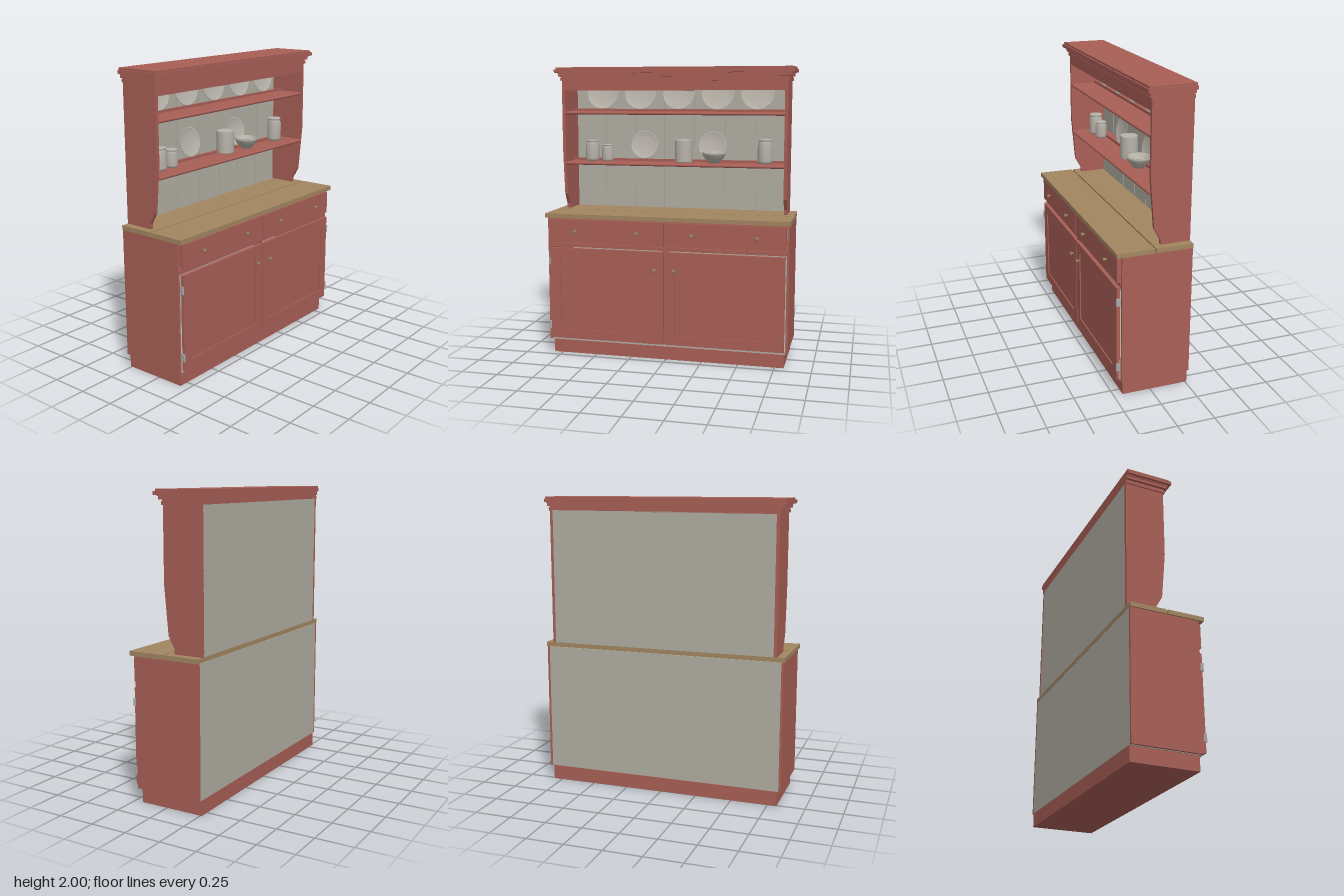
import * as THREE from 'three';

const mat = (name, color) => {
  const m = new THREE.MeshStandardMaterial({ color });
  m.name = name;
  return m;
};

export function createModel() {
  const red = mat('redPaint', 0xa85f56);
  const wood = mat('worktopWood', 0xa28660);
  const grey = mat('greyBoard', 0xb0ada2);
  const china = mat('stoneware', 0xb8b3aa);
  const brass = mat('agedBrass', 0x98835c);
  const steel = mat('hingeSteel', 0xaaaaa8);

  const root = new THREE.Group();
  root.name = 'dresser';

  const add = (name, geometry, material, x = 0, y = 0, z = 0) => {
    const mesh = new THREE.Mesh(geometry, material);
    mesh.name = name;
    mesh.position.set(x, y, z);
    root.add(mesh);
    return mesh;
  };
  // Box given by its limits on each axis
  const box = (name, material, x0, x1, y0, y1, z0, z1) =>
    add(name, new THREE.BoxGeometry(x1 - x0, y1 - y0, Math.abs(z1 - z0)), material,
      (x0 + x1) / 2, (y0 + y1) / 2, (z0 + z1) / 2);
  const lathe = (points, segments) =>
    new THREE.LatheGeometry(points.map(([r, y]) => new THREE.Vector2(r, y)), segments);

  // Base cabinet
  box('plinth', red, -0.26, 0.19, 0, 0.098, -0.812, 0.812);
  box('cabinetFloor', grey, -0.25, 0.208, 0.098, 0.114, -0.82, 0.82);
  box('cabinetBack', grey, -0.26, -0.25, 0.1, 0.968, -0.822, 0.822);
  box('cabinetTop', red, -0.25, 0.205, 0.95, 0.968, -0.82, 0.82);
  box('middleRail', red, -0.25, 0.212, 0.766, 0.79, -0.82, 0.82);
  box('centreStile', red, 0.17, 0.208, 0.114, 0.95, -0.02, 0.02);
  const latch = box('doorCatch', red, 0.208, 0.222, 0.767, 0.791, -0.012, 0.012);
  latch.rotation.x = Math.PI / 4;

  // Two-board worktop
  box('worktopBack', wood, -0.26, -0.014, 0.97, 1, -0.843, 0.843);
  box('worktopFront', wood, -0.004, 0.245, 0.97, 1, -0.845, 0.845);

  // Turned knob pointing forward
  const knobGeo = lathe([[0, 0], [0.008, 0], [0.007, 0.012], [0.014, 0.017],
    [0.014, 0.022], [0.009, 0.026], [0, 0.027]], 14).rotateZ(-Math.PI / 2);

  // Cabinet sides, drawers and doors, mirrored
  for (const s of [1, -1]) {
    const sideBox = (name, m, x0, x1, y0, y1, z0, z1) => box(name, m, x0, x1, y0, y1, s * z0, s * z1);
    sideBox('cabinetSide', red, -0.26, 0.208, 0.1, 0.968, 0.822, 0.838);
    sideBox('drawerFront', red, 0.212, 0.234, 0.797, 0.96, 0.006, 0.815);
    sideBox('drawerBox', red, 0.0, 0.213, 0.81, 0.94, 0.03, 0.8);
    for (const z of [0.19, 0.63]) add('drawerKnob', knobGeo, brass, 0.233, 0.88, s * z);
    sideBox('doorOuterStile', red, 0.212, 0.234, 0.117, 0.76, 0.745, 0.815);
    sideBox('doorInnerStile', red, 0.212, 0.234, 0.117, 0.76, 0.006, 0.073);
    sideBox('doorTopRail', red, 0.212, 0.234, 0.69, 0.76, 0.073, 0.745);
    sideBox('doorBottomRail', red, 0.212, 0.234, 0.117, 0.184, 0.073, 0.745);
    sideBox('doorPanel', red, 0.214, 0.226, 0.184, 0.69, 0.073, 0.745);
    add('doorKnob', knobGeo, brass, 0.233, 0.635, s * 0.068);
    for (const y of [0.21, 0.665]) {
      sideBox('hingeLeaf', steel, 0.2, 0.232, y - 0.025, y + 0.025, 0.814, 0.822);
      add('hingePin', new THREE.CylinderGeometry(0.006, 0.006, 0.052, 10), steel, 0.234, y, s * 0.82);
    }
  }

  // Shaped sides of the plate rack
  const side = new THREE.Shape();
  side.moveTo(-0.26, 1);
  side.lineTo(-0.06, 1);
  side.lineTo(-0.058, 1.035);
  side.lineTo(-0.016, 1.11);
  side.lineTo(-0.008, 1.2);
  side.lineTo(0.012, 1.43);
  side.lineTo(0.012, 1.91);
  side.lineTo(-0.26, 1.91);
  const sideGeo = new THREE.ExtrudeGeometry(side, { depth: 0.022, bevelEnabled: false });
  add('rackSide', sideGeo, red, 0, 0, 0.77);
  add('rackSide', sideGeo, red, 0, 0, -0.792);

  // Boarded back with narrow grooves
  box('rackBack', grey, -0.26, -0.25, 1, 1.91, -0.772, 0.772);
  for (let i = -3; i <= 3; i++) {
    const w = 0.22, c = i * w;
    box('backBoard', grey, -0.25, -0.242, 1, 1.905, c - w / 2 + 0.003, c + w / 2 - 0.003);
  }

  // Shelves with rounded front edges and plate stops
  for (const [y, front] of [[1.32, 0.003], [1.674, 0]]) {
    box('shelf', red, -0.242, front, y, y + 0.02, -0.77, 0.77);
    const nosing = add('shelfNosing', new THREE.CylinderGeometry(0.01, 0.01, 1.54, 12), red, front, y + 0.01, 0);
    nosing.rotation.x = Math.PI / 2;
    box('plateStop', red, -0.182, -0.17, y + 0.02, y + 0.037, -0.77, 0.77);
  }
  box('frieze', red, -0.008, 0.01, 1.842, 1.91, -0.77, 0.77);

  // Stepped cornice: bottom, top, front reach, half width
  for (const [y0, y1, x, z] of [
    [1.905, 1.928, 0.021, 0.8], [1.928, 1.936, 0.015, 0.795], [1.936, 1.957, 0.032, 0.812],
    [1.957, 1.963, 0.038, 0.818], [1.963, 1.986, 0.055, 0.834], [1.986, 2, 0.045, 0.824],
  ]) box('cornice', red, -0.26, x, y0, y1, -z, z);

  // Leaning plates
  const plateGeo = (r) => lathe([[0, 0], [r * 0.55, 0], [r, 0.014], [r, 0.019],
    [r * 0.93, 0.018], [r * 0.6, 0.006], [0, 0.006]], 16).rotateZ(-Math.PI / 2);
  const plate = (r, x, y, z) => {
    add('plate', plateGeo(r), china, x, y, z).rotation.z = 0.2;
  };
  for (let i = -2; i <= 2; i++) plate(0.118, -0.215, 1.818, i * 0.28);
  plate(0.102, -0.212, 1.452, 0.25);
  plate(0.102, -0.212, 1.452, -0.245);

  // Lidded jars: z, radius, height
  for (const [z, r, h] of [[0.62, 0.048, 0.148], [0.505, 0.041, 0.118], [-0.625, 0.05, 0.17]]) {
    add('jar', lathe([[0, 0], [r * 0.86, 0], [r, h * 0.12], [r, h * 0.78], [r * 0.84, h * 0.88],
      [r * 0.84, h * 0.93], [r * 0.92, h * 0.94], [r * 0.92, h], [0, h]], 20), china, -0.13, 1.341, z);
  }
  // Straight crock
  add('crock', lathe([[0, 0], [0.058, 0], [0.061, 0.006], [0.061, 0.152], [0.057, 0.158], [0, 0.158]], 20),
    china, -0.135, 1.341, -0.052);
  // Open bowl
  add('bowl', lathe([[0, 0], [0.04, 0], [0.042, 0.012], [0.065, 0.03], [0.08, 0.058], [0.084, 0.064],
    [0.084, 0.076], [0.077, 0.076], [0.062, 0.037], [0.035, 0.017], [0, 0.014]], 20),
    china, -0.12, 1.341, -0.272);

  return root;
}
